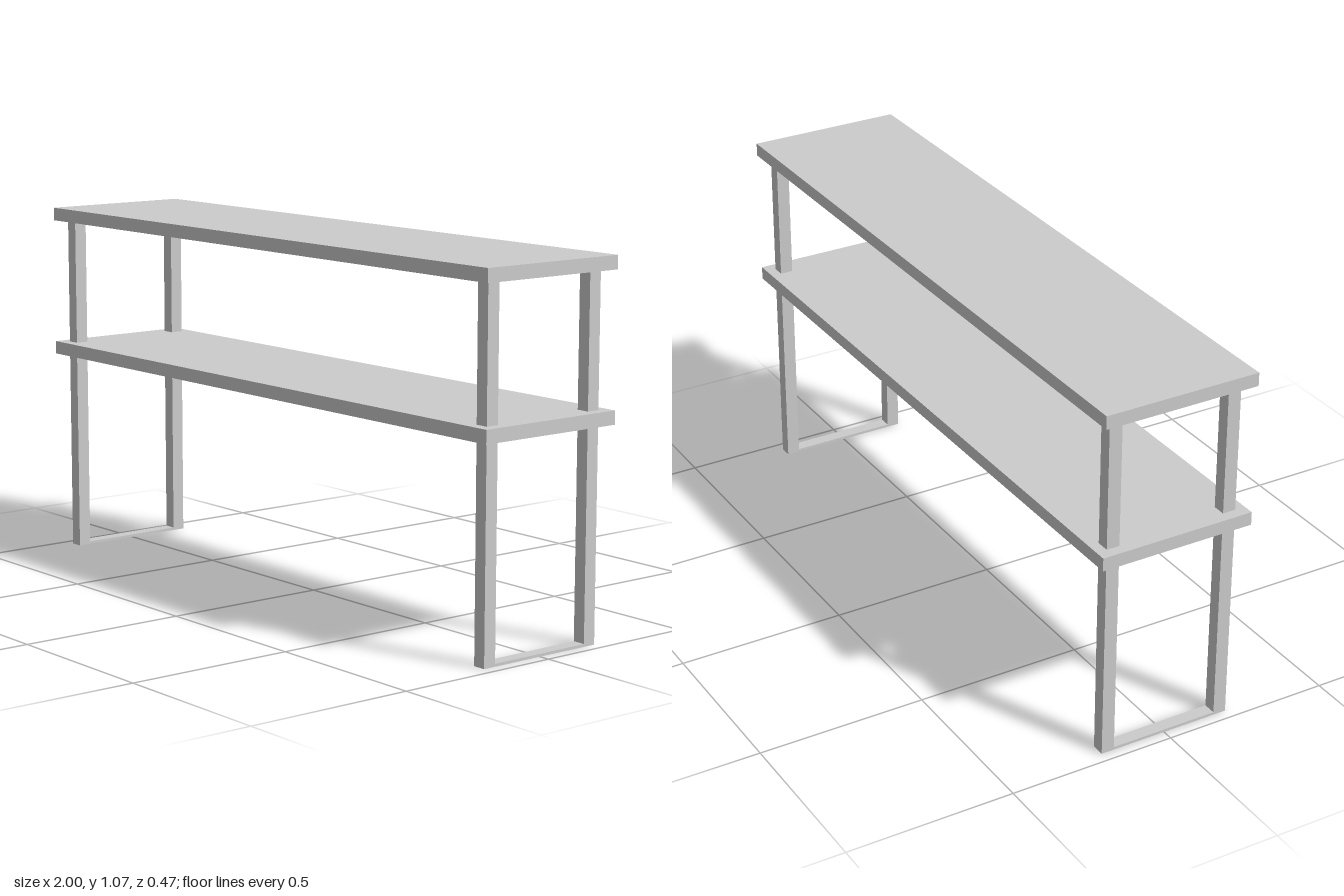
import * as THREE from 'three';

export function createModel() {
  const group = new THREE.Group();
  const material = new THREE.MeshStandardMaterial({ color: 0xcccccc });

  // Box spanning y0..y1, centred on x and z
  function addBox(name, width, depth, x, z, y0, y1) {
    const mesh = new THREE.Mesh(new THREE.BoxGeometry(width, y1 - y0, depth), material);
    mesh.name = name;
    mesh.position.set(x, (y0 + y1) / 2, z);
    group.add(mesh);
  }

  const lower = [0.609, 0.648];
  const upper = [1.028, 1.067];
  const post = 0.039;
  const postX = 0.948;
  const postZ = 0.1825;

  // Two shelves
  addBox('lowerShelf', 2, 0.466, 0, 0, ...lower);
  addBox('upperShelf', 2, 0.466, 0, 0, ...upper);

  for (const [side, sx] of [['left', 1], ['right', -1]]) {
    // Posts below and between the shelves
    for (const [end, sz] of [['Front', 1], ['Back', -1]]) {
      addBox(side + end + 'Leg', post, post, sx * postX, sz * postZ, 0, lower[0]);
      addBox(side + end + 'UpperPost', post, post, sx * postX, sz * postZ, lower[1], upper[0]);
    }
    // Thin foot plate joining the two legs
    addBox(side + 'FootPlate', post, 2 * postZ - post, sx * postX, 0, 0, 0.008);
  }

  return group;
}
